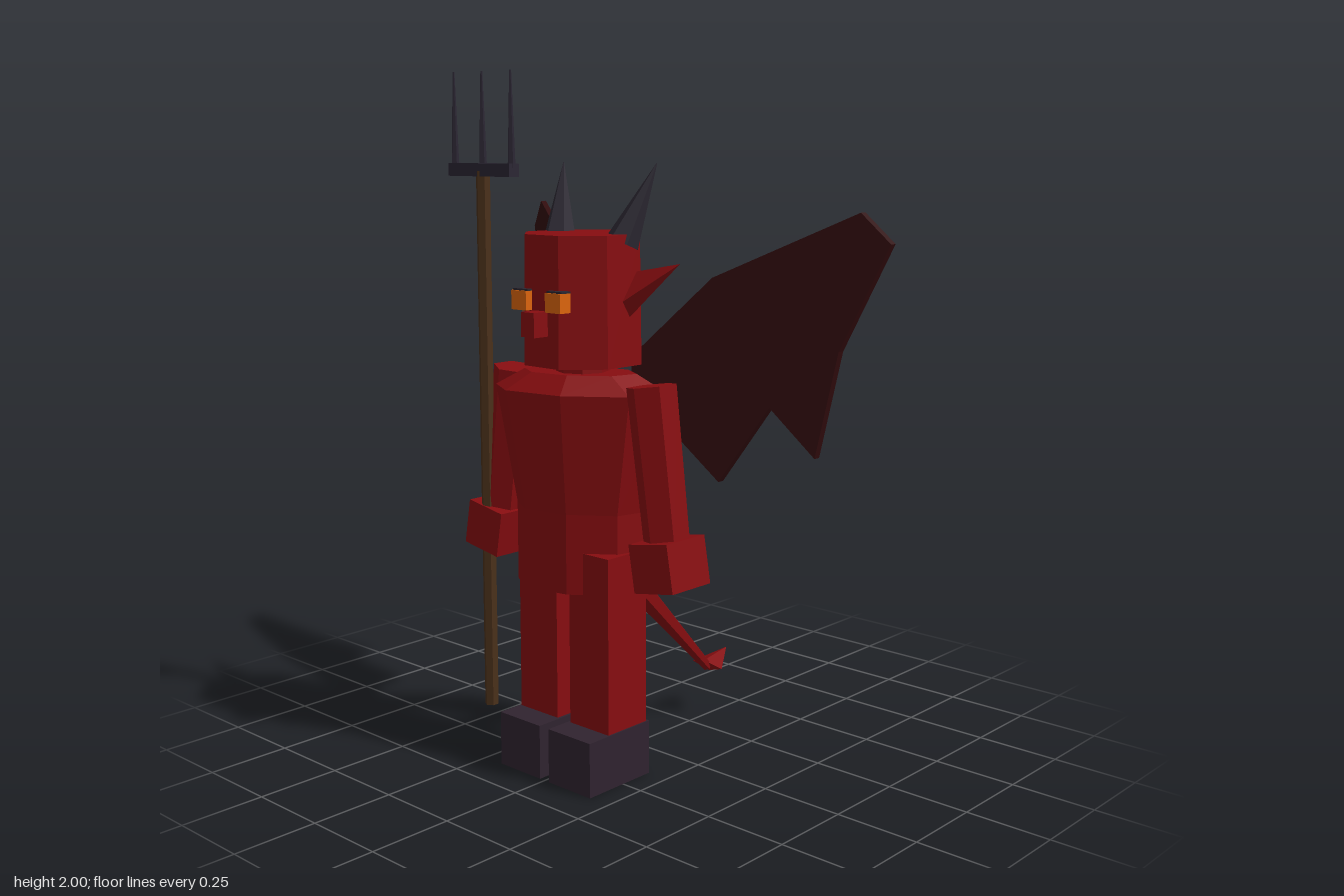
import * as THREE from 'three';
import { ConvexGeometry } from 'three/addons/geometries/ConvexGeometry.js';

const paint = (name, color) => {
  const m = new THREE.MeshStandardMaterial({ color, flatShading: true });
  m.name = name;
  return m;
};
const V = (x, y, z) => new THREE.Vector3(x, y, z);

export function createModel() {
  const red = paint('red skin', 0x870d10);
  const wingMat = paint('dark wing', 0x300b0d);
  const hoof = paint('dark hoof', 0x30232f);
  const horn = paint('horn grey', 0x2a2630);
  const iron = paint('iron', 0x2b2633);
  const wood = paint('wood', 0x4a301a);
  const orange = paint('eye orange', 0xdc650c);

  const model = new THREE.Group();
  model.name = 'winged imp';

  const add = (parent, name, geo, mat) => {
    const mesh = new THREE.Mesh(geo, mat);
    mesh.name = name;
    parent.add(mesh);
    return mesh;
  };
  // box given by its minimum and maximum corners
  const box = (parent, name, mat, x0, x1, y0, y1, z0, z1) => {
    const mesh = add(parent, name, new THREE.BoxGeometry(x1 - x0, y1 - y0, z1 - z0), mat);
    mesh.position.set((x0 + x1) / 2, (y0 + y1) / 2, (z0 + z1) / 2);
    return mesh;
  };
  // tapered prism between two points
  const rod = (parent, name, mat, from, to, r0, r1, sides) => {
    const dir = to.clone().sub(from);
    const mesh = add(parent, name, new THREE.CylinderGeometry(r1, r0, dir.length(), sides), mat);
    mesh.position.copy(from).add(to).multiplyScalar(0.5);
    mesh.quaternion.setFromUnitVectors(V(0, 1, 0), dir.normalize());
    return mesh;
  };

  // torso: skewed eight-sided section, scaled level by level
  const half = [[-0.24, 0.1], [-0.13, 0.165], [0.056, 0.135], [0.21, 0.023]];
  const ring = [...half, ...half.map(([x, z]) => [-x, -z])];
  const levels = [[0.55, 0.76], [0.78, 0.76], [1.12, 1], [1.17, 0.65]];
  const pos = [], idx = [], n = ring.length;
  for (const [y, s] of levels) for (const [x, z] of ring) pos.push(x * s, y, z * s + 0.23);
  for (let l = 0; l < levels.length - 1; l++) {
    for (let i = 0; i < n; i++) {
      const a = l * n + i, b = l * n + (i + 1) % n;
      idx.push(a, b, b + n, a, b + n, a + n);
    }
  }
  const top = (levels.length - 1) * n;
  for (let i = 1; i < n - 1; i++) idx.push(0, i + 1, i, top, top + i, top + i + 1);
  const torso = new THREE.BufferGeometry();
  torso.setAttribute('position', new THREE.Float32BufferAttribute(pos, 3));
  torso.setIndex(idx);
  torso.computeVertexNormals();
  add(model, 'torso', torso, red);

  // neck, head and nose
  rod(model, 'neck', red, V(0, 1.15, 0.22), V(0, 1.22, 0.22), 0.075, 0.075, 8);
  const headGeo = new THREE.CylinderGeometry(0.17, 0.175, 0.36, 8);
  headGeo.rotateY(Math.PI / 8);
  add(model, 'head', headGeo, red).position.set(0, 1.375, 0.218);
  box(model, 'nose', red, -0.025, 0.025, 1.282, 1.35, 0.36, 0.43);

  // wing outline, drawn as seen from the front
  const outline = [
    [0.06, 1.2], [0.265, 1.43], [0.622, 1.614], [0.695, 1.53], [0.577, 1.233],
    [0.524, 0.93], [0.41, 1.07], [0.285, 0.85], [0.15, 1.01], [0.07, 1.03]
  ];

  // mirrored parts
  for (const [side, sign] of [['left', 1], ['right', -1]]) {
    const g = new THREE.Group();
    g.name = side + 'Side';
    g.scale.x = sign;
    model.add(g);

    box(g, 'foot', hoof, 0.018, 0.182, 0, 0.16, 0.14, 0.385);
    box(g, 'leg', red, 0.026, 0.178, 0.16, 0.67, 0.15, 0.305);

    rod(g, 'arm', red, V(0.327, 0.7, 0.225), V(0.265, 1.155, 0.225), 0.064, 0.07, 6);
    const hand = box(g, 'hand', red, 0.265, 0.405, 0.605, 0.74, 0.15, 0.305);
    hand.rotation.z = 0.17;

    rod(g, 'horn', horn, V(0.122, 1.53, 0.187), V(0.18, 1.745, 0.11), 0.048, 0.001, 6);
    add(g, 'ear', new ConvexGeometry([
      V(0.14, 1.45, 0.17), V(0.14, 1.36, 0.235), V(0.15, 1.32, 0.2),
      V(0.15, 1.38, 0.16), V(0.3, 1.48, 0.15)
    ]), red);
    box(g, 'eye', orange, 0.037, 0.095, 1.35, 1.403, 0.36, 0.4);
    box(g, 'eyelid', horn, 0.037, 0.095, 1.403, 1.408, 0.36, 0.394);

    // wing plate, sheared onto its swept-back plane
    const wing = new THREE.ExtrudeGeometry(
      new THREE.Shape(outline.map(([x, y]) => new THREE.Vector2(x, y))),
      { depth: 0.022, bevelEnabled: false }
    );
    const p = wing.attributes.position;
    for (let i = 0; i < p.count; i++) p.setZ(i, p.getZ(i) - 0.011 + 0.108 - 0.548 * p.getX(i));
    wing.computeVertexNormals();
    add(g, 'wing', wing, wingMat);
  }

  // tail with a flat spade tip
  rod(model, 'tail', red, V(0, 0.63, 0.13), V(0, 0.16, -0.335), 0.046, 0.016, 6);
  add(model, 'tailTip', new ConvexGeometry([
    V(-0.06, 0.163, -0.335), V(0.06, 0.163, -0.335),
    V(0, 0.182, -0.32), V(0, 0.143, -0.345), V(0, 0.2, -0.43)
  ]), red);

  // pitchfork
  const fork = new THREE.Group();
  fork.name = 'pitchfork';
  model.add(fork);
  rod(fork, 'shaft', wood, V(-0.335, 0.12, 0.282), V(-0.335, 1.72, 0.282), 0.021, 0.021, 6);
  box(fork, 'crossbar', iron, -0.465, -0.205, 1.705, 1.742, 0.263, 0.3);
  for (const x of [-0.455, -0.335, -0.215]) {
    rod(fork, 'prong', iron, V(x, 1.73, 0.282), V(x, 2, 0.282), 0.012, 0.003, 5);
  }
  return model;
}
